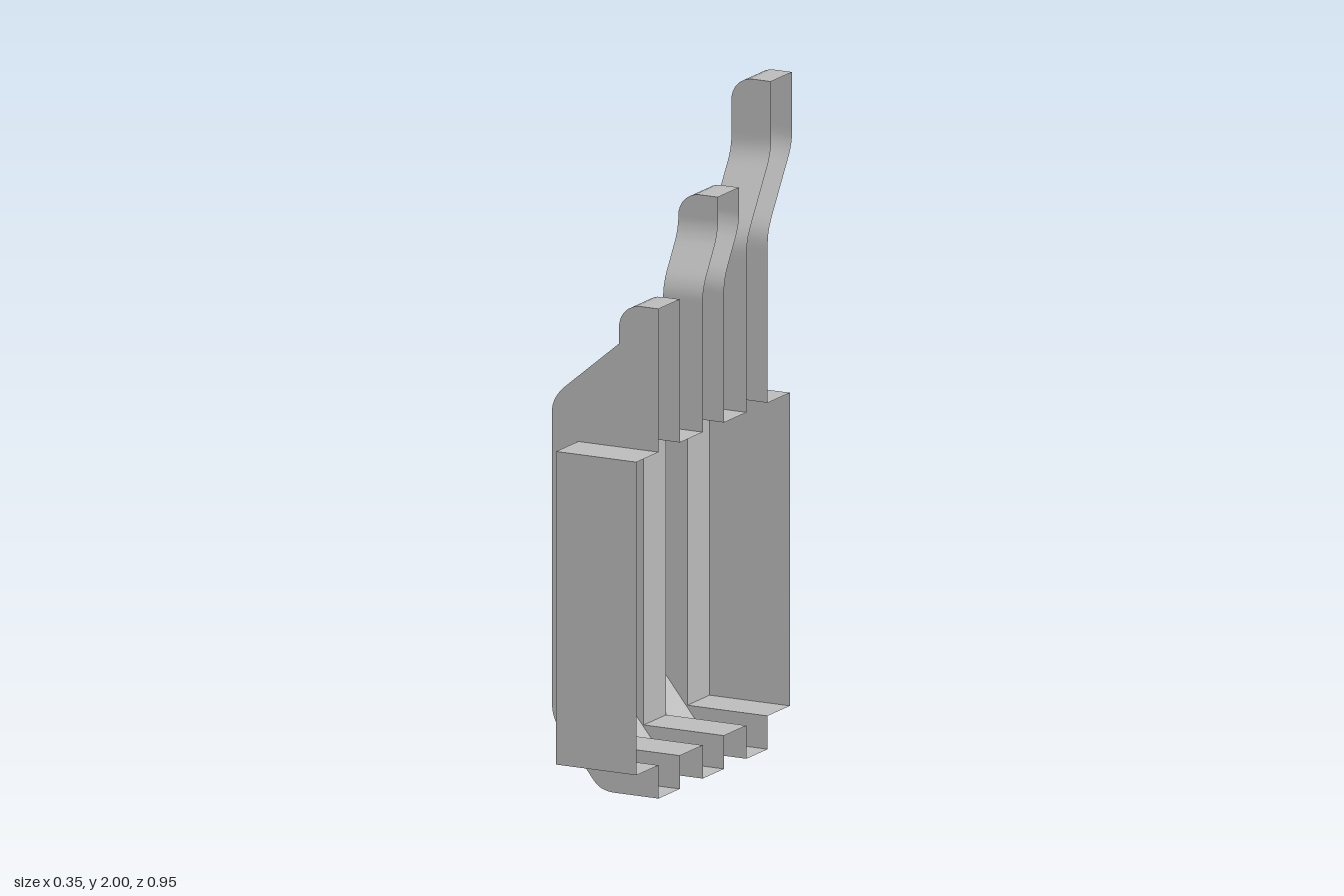
import * as THREE from 'three';
import { toCreasedNormals } from 'three/addons/utils/BufferGeometryUtils.js';

const OPEN = 0.176;             // plane where the shell is left open
const WALL = -0.09, FLOOR = 0.1, ROOF = 1.04; // body section
const NECK_X = 0.045, NECK_Y = 1.35, ROUND = 0.07;

// Fins: front and back z, top height, and the backward bend of the neck
const FINS = [
  { name: 'frontFin', z0: 0.34, z1: 0.21, top: 1.47, shift: 0, from: 1.4, to: 1.45 },
  { name: 'middleFin', z0: 0.07, z1: -0.06, top: 1.725, shift: -0.092, from: 1.47, to: 1.615 },
  { name: 'backFin', z0: -0.197, z1: -0.326, top: 2, shift: -0.149, from: 1.555, to: 1.785 },
];
const FRONT = 0.475, BACK = -0.462;

export function createModel() {
  const group = new THREE.Group();
  group.name = 'finnedShell';
  const grey = new THREE.MeshStandardMaterial({ color: 0xbfbfbf, side: THREE.DoubleSide });
  grey.name = 'grey';

  const addMesh = (name, positions) => {
    const geo = new THREE.BufferGeometry();
    geo.setAttribute('position', new THREE.Float32BufferAttribute(positions, 3));
    const mesh = new THREE.Mesh(toCreasedNormals(geo, 0.5), grey);
    mesh.name = name;
    group.add(mesh);
  };

  const quad = (out, a, b, c, d) => out.push(...a, ...b, ...c, ...a, ...c, ...d);

  // Sweep an xy path from z0 back to z1; bend(y) shifts it in z
  const ribbon = (out, path, z0, z1, bend = () => 0) => {
    for (let i = 0; i < path.length - 1; i++) {
      const p = path[i], q = path[i + 1], bp = bend(p.y), bq = bend(q.y);
      quad(out, [p.x, p.y, z0 + bp], [q.x, q.y, z0 + bq], [q.x, q.y, z1 + bq], [p.x, p.y, z1 + bp]);
    }
  };

  // Flat counter-clockwise polygon at z, facing +z or -z
  const cap = (out, contour, z, back) => {
    for (const tri of THREE.ShapeUtils.triangulateShape(contour, [])) {
      const t = back ? [tri[0], tri[2], tri[1]] : tri;
      for (const i of t) out.push(contour[i].x, contour[i].y, z);
    }
  };

  // Fins: hollow, open at +x and into the body
  for (const { name, z0, z1, top, shift, from, to } of FINS) {
    const ramp = (y) => shift * THREE.MathUtils.clamp((y - from) / (to - from), 0, 1);
    const bend = (y) => (ramp(y - 0.025) + ramp(y) + ramp(y + 0.025)) / 3;

    const lower = new THREE.Path()
      .moveTo(OPEN, 0).lineTo(0.03, 0)
      .quadraticCurveTo(-0.015, 0, -0.038, 0.028)
      .lineTo(-0.158, 0.18)
      .quadraticCurveTo(-0.177, 0.205, -0.177, 0.25)
      .lineTo(-0.177, 1.12)
      .quadraticCurveTo(-0.177, 1.164, -0.13, 1.203)
      .lineTo(NECK_X, NECK_Y).getPoints(8);

    const neck = [], steps = 24, shoulder = top - ROUND;
    for (let i = 0; i <= steps; i++) {
      neck.push(new THREE.Vector2(NECK_X, NECK_Y + (shoulder - NECK_Y) * i / steps));
    }
    for (let i = 1; i <= 8; i++) {
      const a = Math.PI / 2 * i / 8;
      neck.push(new THREE.Vector2(NECK_X + ROUND * (1 - Math.cos(a)), shoulder + ROUND * Math.sin(a)));
    }

    const rim = [];
    ribbon(rim, [...lower, ...neck.slice(1), new THREE.Vector2(OPEN, top)], z0, z1, bend);
    addMesh(name + 'Rim', rim);

    // Side walls, notched where the fin opens into the body
    const outline = [
      ...lower, [OPEN, NECK_Y], [OPEN, ROOF], [WALL, ROOF], [WALL, FLOOR], [OPEN, FLOOR],
    ].map((p) => (Array.isArray(p) ? new THREE.Vector2(...p) : p)).reverse();
    const sides = [];
    cap(sides, outline, z0, false);
    cap(sides, outline, z1, true);
    for (let i = 0; i < neck.length - 1; i++) {
      const p = neck[i], q = neck[i + 1];
      const zp = bend(p.y), zq = bend(q.y);
      quad(sides, [p.x, p.y, z0 + zp], [OPEN, p.y, z0 + zp], [OPEN, q.y, z0 + zq], [q.x, q.y, z0 + zq]);
      quad(sides, [OPEN, p.y, z1 + zp], [p.x, p.y, z1 + zp], [q.x, q.y, z1 + zq], [OPEN, q.y, z1 + zq]);
    }
    addMesh(name + 'Sides', sides);
  }

  // Body: floor, wall and roof between the fins
  const section = [[OPEN, FLOOR], [WALL, FLOOR], [WALL, ROOF], [OPEN, ROOF]]
    .map((p) => new THREE.Vector2(...p));
  const starts = [FRONT, ...FINS.map((f) => f.z1)];
  const ends = [...FINS.map((f) => f.z0), BACK];
  const body = [];
  starts.forEach((z, i) => ribbon(body, section, z, ends[i]));
  addMesh('bodyShell', body);

  // Body end walls
  const endWalls = [], rect = [...section].reverse();
  cap(endWalls, rect, FRONT, false);
  cap(endWalls, rect, BACK, true);
  addMesh('bodyEndWalls', endWalls);

  return group;
}
